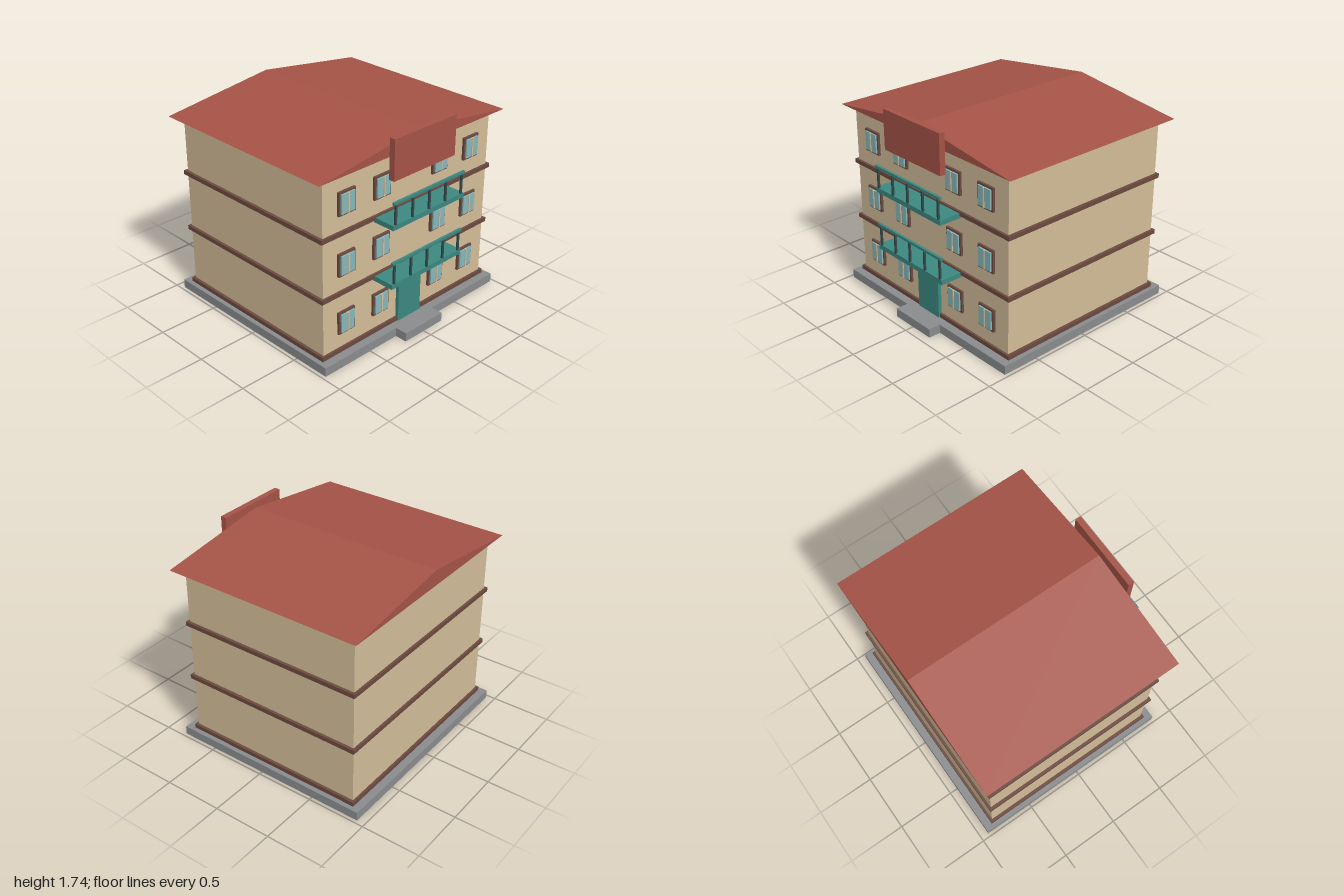
import * as THREE from 'three';

const mat = (color) => new THREE.MeshStandardMaterial({ color });

export function createModel() {
  const model = new THREE.Group();
  model.name = 'apartmentBuilding';

  const wall = mat(0xd2bc98), roofRed = mat(0xa55347), brown = mat(0x6b4a3f);
  const teal = mat(0x3c8880), glass = mat(0x86b6ba), stone = mat(0x8a8b8d), iron = mat(0x35494c);

  // Box given by its minimum and maximum on each axis
  const box = (name, material, [x0, x1], [y0, y1], [z0, z1], parent = model) => {
    const mesh = new THREE.Mesh(new THREE.BoxGeometry(x1 - x0, y1 - y0, z1 - z0), material);
    mesh.position.set((x0 + x1) / 2, (y0 + y1) / 2, (z0 + z1) / 2);
    mesh.name = name;
    parent.add(mesh);
    return mesh;
  };
  const span = (c, size) => [c - size / 2, c + size / 2];

  // Plinth, entrance step and main block
  box('plinth', stone, [-0.97, 0.97], [0, 0.075], [-0.93, 0.82]);
  box('entranceStep', stone, [-0.21, 0.21], [0, 0.075], [0.82, 0.925]);
  box('walls', wall, [-0.907, 0.907], [0.075, 1.58], [-0.845, 0.73]);
  box('door', teal, [-0.126, 0.126], [0.075, 0.452], [0.72, 0.76]);

  // Each storey: a band course and a row of four windows
  for (let floor = 0; floor < 3; floor++) {
    const y = floor * 0.5;
    box('bandCourse', brown, [-0.932, 0.932], [y + 0.075, y + 0.11], [-0.865, 0.75]);
    for (const x of [-0.68, -0.317, 0.317, 0.68]) {
      const win = new THREE.Group();
      win.name = 'window';
      const cy = y + 0.333;
      box('windowFrame', brown, span(x, 0.168), span(cy, 0.19), [0.72, 0.75], win);
      box('windowPane', glass, span(x, 0.134), span(cy, 0.157), [0.74, 0.763], win);
      box('windowMullion', wall, span(x, 0.013), span(cy, 0.157), [0.75, 0.769], win);
      model.add(win);
    }
  }

  // Balconies over the entrance, with five posts and a handrail
  for (const y of [0.555, 1.055]) {
    const balcony = new THREE.Group();
    balcony.name = 'balcony';
    box('balconySlab', teal, [-0.392, 0.392], [y, y + 0.041], [0.735, 0.932], balcony);
    box('handrail', teal, [-0.392, 0.392], [y + 0.206, y + 0.228], [0.915, 0.936], balcony);
    for (let i = -2; i <= 2; i++) {
      box('railingPost', iron, span(i * 0.182, 0.017), [y + 0.04, y + 0.208], span(0.925, 0.015), balcony);
    }
    model.add(balcony);
  }

  // Low gable roof with its ridge running front to back
  const gable = new THREE.Shape([
    new THREE.Vector2(-1, 1.578), new THREE.Vector2(1, 1.578), new THREE.Vector2(0, 1.71),
  ]);
  const roof = new THREE.Mesh(
    new THREE.ExtrudeGeometry(gable, { depth: 1.722, bevelEnabled: false }), roofRed);
  roof.position.z = -0.92;
  roof.name = 'gableRoof';
  model.add(roof);

  // Blank panel in front of the gable
  box('frontPanel', roofRed, [-0.333, 0.333], [1.412, 1.744], [0.823, 0.873]);

  return model;
}
